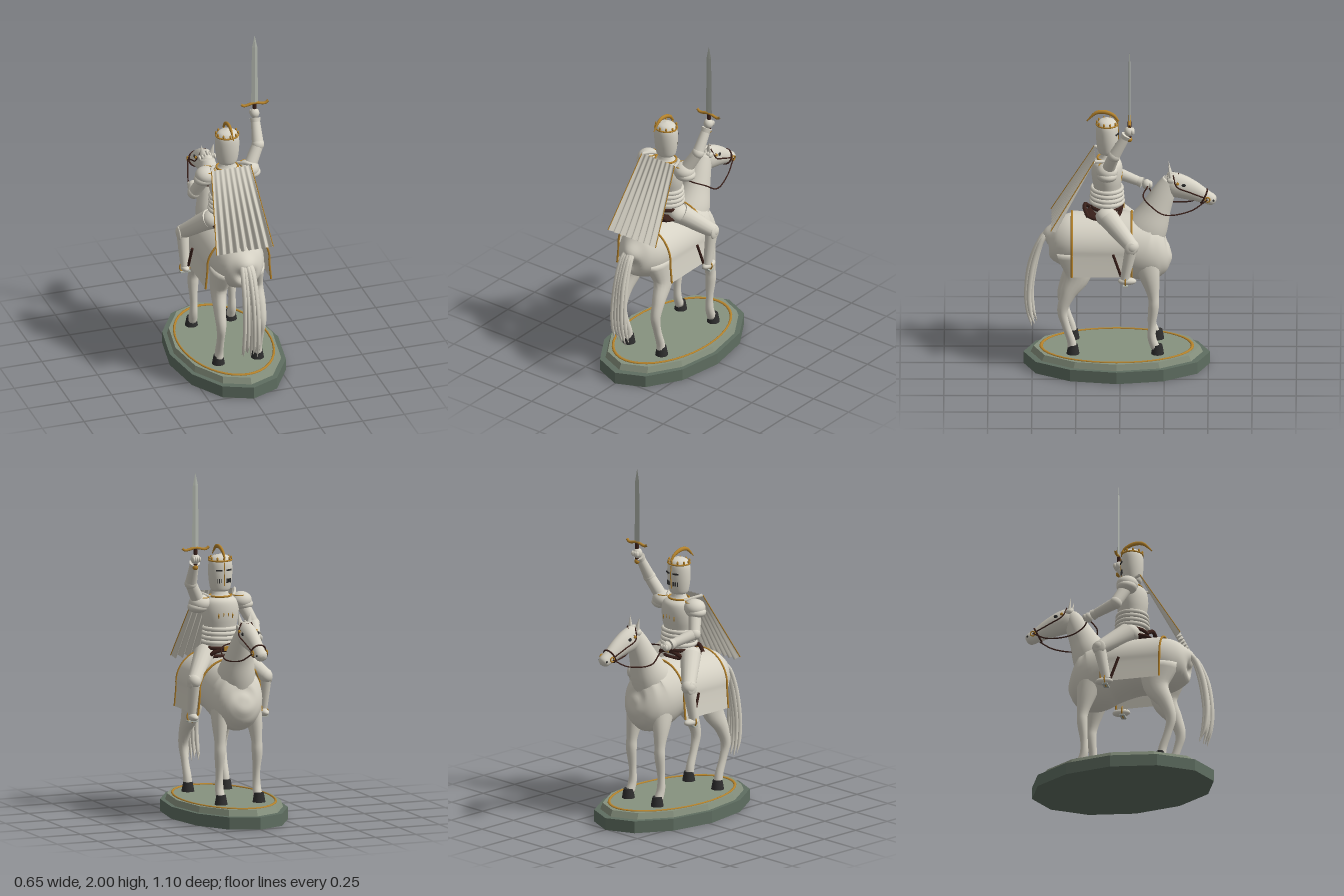
import * as THREE from 'three';

const mat = (name, color) => Object.assign(new THREE.MeshStandardMaterial({ color }), { name });
const ivory = mat('ivory', 0xd6d2c5);
ivory.side = THREE.DoubleSide;
const gold = mat('gold', 0xb5832c);
const leather = mat('dark leather', 0x3a211b);
const hoofDark = mat('hoof', 0x2e2e2e);
const steel = mat('steel', 0xb2b7ae);
const stoneDark = mat('dark stone', 0x5f6e61);
const stoneLight = mat('light stone', 0x87927f);

const V = (x, y, z) => new THREE.Vector3(x, y, z);
const SIDES = [-1, 1];

export function createModel() {
  const root = new THREE.Group();
  root.name = 'mountedKnight';

  const add = (name, geo, m, pos = [0, 0, 0], scale = [1, 1, 1], rot = [0, 0, 0]) => {
    const mesh = new THREE.Mesh(geo, m);
    mesh.name = name;
    mesh.position.set(...pos);
    mesh.scale.set(...scale);
    mesh.rotation.set(...rot);
    root.add(mesh);
    return mesh;
  };
  const ball = (name, m, pos, radii) => add(name, new THREE.SphereGeometry(1, 24, 16), m, pos, radii);
  const ring = (name, m, pos, rx, rz, r = 0.005) =>
    add(name, new THREE.TorusGeometry(1, r / rx, 8, 40), m, pos, [rx, rz, rx], [Math.PI / 2, 0, 0]);
  const tube = (name, m, pts, r = 0.004, closed = false) =>
    add(name, new THREE.TubeGeometry(new THREE.CatmullRomCurve3(pts.map(p => V(...p)), closed), 32, r, 6, closed), m);
  const rod = (name, m, a, b, r1, r2, seg = 16) => {
    const p = V(...a), q = V(...b), d = q.clone().sub(p);
    const mesh = add(name, new THREE.CylinderGeometry(r2, r1, d.length(), seg), m);
    mesh.position.copy(p).lerp(q, 0.5);
    mesh.quaternion.setFromUnitVectors(V(0, 1, 0), d.normalize());
    return mesh;
  };
  // Smooth skin over elliptical sections [x, y, z, radius across, radius along the profile]
  const loft = (name, m, secs, n = 24, steps = 30) => {
    const path = new THREE.CatmullRomCurve3(secs.map(s => V(s[0], s[1], s[2])), false, 'catmullrom');
    const size = new THREE.CatmullRomCurve3(secs.map(s => V(s[3], s[4], 0)), false, 'catmullrom');
    const pos = [], idx = [];
    for (let i = -1; i <= steps + 1; i++) {
      const t = Math.min(Math.max(i / steps, 0), 1), cap = i < 0 || i > steps ? 0 : 1;
      const c = path.getPoint(t), s = size.getPoint(t);
      const v = path.getTangent(t).cross(V(1, 0, 0)).normalize();
      for (let j = 0; j < n; j++) {
        const a = j / n * Math.PI * 2, k = cap * s.y * Math.sin(a);
        pos.push(c.x + cap * s.x * Math.cos(a), c.y + v.y * k, c.z + v.z * k);
        if (i <= steps) {
          const p = (i + 1) * n + j, q = (i + 1) * n + (j + 1) % n;
          idx.push(p, q, p + n, q, q + n, p + n);
        }
      }
    }
    const g = new THREE.BufferGeometry();
    g.setAttribute('position', new THREE.Float32BufferAttribute(pos, 3));
    g.setIndex(idx);
    g.computeVertexNormals();
    return add(name, g, m);
  };

  // Twelve-sided plinth with a gold inlay ring
  const slab = (name, r1, r2, h, y, m) => {
    const g = new THREE.CylinderGeometry(r2, r1, h, 12).toNonIndexed();
    g.computeVertexNormals();
    add(name, g, m, [0, y + h / 2, 0.02], [1, 1, 1.63]);
  };
  slab('plinthBase', 0.325, 0.325, 0.07, 0, stoneDark);
  slab('plinthTop', 0.3, 0.29, 0.035, 0.07, stoneLight);
  ring('plinthInlay', gold, [0, 0.106, 0.02], 0.262, 0.43, 0.006);

  // Horse body, neck and head
  loft('horseBody', ivory, [
    [0, 0.75, 0.42, 0.02, 0.02], [0, 0.755, 0.405, 0.07, 0.08], [0, 0.752, 0.36, 0.118, 0.128],
    [0, 0.75, 0.27, 0.152, 0.16], [0, 0.75, 0.1, 0.165, 0.157], [0, 0.73, -0.05, 0.165, 0.175],
    [0, 0.7, -0.15, 0.157, 0.185], [0, 0.7, -0.22, 0.132, 0.16], [0, 0.705, -0.263, 0.085, 0.1],
    [0, 0.71, -0.28, 0.02, 0.02]], 32, 48);
  loft('horseNeck', ivory, [
    [0, 0.74, -0.1, 0.11, 0.14], [0, 0.85, -0.16, 0.105, 0.115], [0, 0.95, -0.205, 0.08, 0.085],
    [0, 1.05, -0.25, 0.058, 0.064], [0, 1.12, -0.285, 0.042, 0.045]]);
  loft('horseHead', ivory, [
    [0, 1.1, -0.24, 0.025, 0.035], [0, 1.095, -0.285, 0.048, 0.07], [0, 1.082, -0.34, 0.052, 0.07],
    [0, 1.055, -0.41, 0.044, 0.058], [0, 1.02, -0.48, 0.037, 0.041], [0, 0.998, -0.525, 0.034, 0.032],
    [0, 0.99, -0.54, 0.015, 0.014]]);
  for (let i = -3; i <= 3; i++)
    ball('forelock', ivory, [i * 0.015, 1.155 - Math.abs(i) * 0.008, -0.285], [0.009, 0.016, 0.02]);

  for (const s of SIDES) {
    // Horse face
    add('horseEar', new THREE.ConeGeometry(0.018, 0.075, 10), ivory, [s * 0.032, 1.182, -0.28], [1, 1, 0.6], [0.15, 0, -s * 0.15]);
    ball('horseEye', hoofDark, [s * 0.048, 1.105, -0.36], [0.006, 0.01, 0.012]);
    ball('nostril', hoofDark, [s * 0.03, 1.005, -0.527], [0.005, 0.007, 0.008]);
    // Horse legs and hooves
    loft('frontLeg', ivory, [
      [s * 0.09, 0.72, -0.13, 0.055, 0.09], [s * 0.105, 0.58, -0.165, 0.045, 0.06], [s * 0.113, 0.46, -0.187, 0.031, 0.033],
      [s * 0.115, 0.39, -0.19, 0.031, 0.03], [s * 0.115, 0.28, -0.18, 0.021, 0.022], [s * 0.115, 0.2, -0.18, 0.024, 0.024],
      [s * 0.115, 0.14, -0.2, 0.026, 0.026]], 16);
    loft('hindLeg', ivory, [
      [s * 0.09, 0.72, 0.25, 0.065, 0.12], [s * 0.105, 0.58, 0.24, 0.048, 0.075], [s * 0.118, 0.47, 0.295, 0.036, 0.044],
      [s * 0.12, 0.37, 0.328, 0.028, 0.03], [s * 0.118, 0.28, 0.31, 0.022, 0.023], [s * 0.116, 0.19, 0.28, 0.024, 0.024],
      [s * 0.116, 0.14, 0.272, 0.026, 0.026]], 16);
    for (const z of [-0.212, 0.268])
      add('hoof', new THREE.CylinderGeometry(0.027, 0.037, 0.055, 16), hoofDark, [s * 0.117, 0.132, z]);
    // Bridle and bit
    tube('cheekStrap', leather, [[s * 0.03, 1.16, -0.3], [s * 0.055, 1.1, -0.32], [s * 0.049, 1.06, -0.4], [s * 0.04, 1.02, -0.49]]);
    add('bitRing', new THREE.TorusGeometry(0.014, 0.004, 8, 16), gold, [s * 0.043, 1.015, -0.495], [1, 1, 1], [0, Math.PI / 2, 0]);
    ball('bridleStud', gold, [s * 0.053, 1.115, -0.325], [0.007, 0.009, 0.009]);
  }
  add('noseband', new THREE.TorusGeometry(0.043, 0.005, 8, 24), leather, [0, 1.022, -0.475], [1, 1, 1], [-0.46, 0, 0]);
  tube('browband', leather, [[-0.05, 1.115, -0.325], [0, 1.157, -0.33], [0.05, 1.115, -0.325]]);
  tube('leftRein', leather, [[0.043, 1.015, -0.495], [0.075, 0.96, -0.4], [0.112, 0.95, -0.25], [0.095, 1.0, -0.17], [0, 1.02, -0.13], [-0.1, 1.04, -0.155]]);
  tube('rightRein', leather, [[-0.043, 1.015, -0.495], [-0.075, 0.96, -0.4], [-0.112, 0.95, -0.25], [-0.105, 1.0, -0.18], [-0.125, 1.04, -0.155]]);

  // Tail of curved strands
  for (let i = -4; i <= 4; i++) {
    const w = i / 4, o = (i % 2) * 0.014, e = 0.24 + Math.abs(i % 3) * 0.018;
    loft('tailStrand', ivory, [
      [w * 0.012, 0.8, 0.39, 0.022, 0.018], [w * 0.03, 0.76, 0.445 + o * 0.5, 0.015, 0.015],
      [w * 0.036, 0.62, 0.495 + o, 0.014, 0.016], [w * 0.042, 0.45, 0.518 + o, 0.012, 0.014],
      [w * 0.046, 0.33, 0.51 + o, 0.01, 0.011], [w * 0.05, e, 0.488 + o, 0.002, 0.002]], 8, 20);
  }

  // Draped saddle cloth with gold edging at both ends
  const drape = [[-0.196, 0.6]];
  for (let i = 0; i <= 20; i++) {
    const a = (i / 20 - 0.5) * Math.PI * 1.06;
    drape.push([0.186 * Math.sin(a), 0.738 + 0.177 * Math.cos(a)]);
  }
  drape.push([0.196, 0.6]);
  const dc = new THREE.CatmullRomCurve3(drape.map(p => V(p[0], p[1], 0)));
  const cloth = new THREE.PlaneGeometry(1, 1, 48, 1), cp = cloth.attributes.position;
  for (let i = 0; i < cp.count; i++) {
    const p = dc.getPoint(cp.getX(i) + 0.5);
    cp.setXYZ(i, p.x, p.y, cp.getY(i) < 0 ? 0.275 : -0.065);
  }
  cloth.computeVertexNormals();
  add('saddleCloth', cloth, ivory);
  for (const z of [-0.065, 0.275])
    add('clothTrim', new THREE.TubeGeometry(dc, 60, 0.006, 6), gold, [0, 0, z]);

  // Saddle
  ball('saddleSeat', leather, [0, 0.917, 0.1], [0.115, 0.024, 0.105]);
  tube('pommel', leather, [[-0.1, 0.92, 0.02], [-0.05, 0.95, 0.0], [0.05, 0.95, 0.0], [0.1, 0.92, 0.02]], 0.012);
  tube('cantle', leather, [[-0.09, 0.925, 0.18], [-0.04, 0.955, 0.2], [0.04, 0.955, 0.2], [0.09, 0.925, 0.18]], 0.012);

  // Breastplate, waist bands and belt
  const torso = [[0.01, 0.92], [0.082, 0.93], [0.088, 0.99], [0.084, 1.06], [0.097, 1.13], [0.1, 1.19], [0.088, 1.235], [0.05, 1.26], [0.035, 1.3]];
  add('torso', new THREE.LatheGeometry(new THREE.SplineCurve(torso.map(p => new THREE.Vector2(...p))).getPoints(32), 32),
    ivory, [0, 0, 0.075], [1.08, 1, 0.88]);
  for (let i = 0; i < 4; i++)
    ring('waistBand', ivory, [0, 0.995 + i * 0.026, 0.075], 0.1 - i * 0.002, 0.09 - i * 0.002, 0.013);
  ring('belt', leather, [0, 0.965, 0.075], 0.097, 0.084, 0.011);
  add('beltBuckle', new THREE.BoxGeometry(0.03, 0.026, 0.008), gold, [0, 0.965, -0.021]);
  ring('collar', gold, [0, 1.257, 0.075], 0.062, 0.055, 0.006);
  for (const x of [-0.042, -0.014, 0.014, 0.042])
    add('breastOrnament', new THREE.OctahedronGeometry(1, 0), gold, [x, 1.165 - Math.abs(x) * 0.3, -0.012 + Math.abs(x) * 0.16], [0.006, 0.022, 0.005]);

  // Helmet with visor slits, coronet and curved crest
  const helm = [[0.045, 1.285], [0.058, 1.3], [0.068, 1.36], [0.07, 1.42], [0.064, 1.46], [0.045, 1.485], [0.001, 1.497]];
  add('helmet', new THREE.LatheGeometry(new THREE.SplineCurve(helm.map(p => new THREE.Vector2(...p))).getPoints(30), 32), ivory, [0, 0, 0.075], [1, 1, 0.9]);
  ring('coronet', gold, [0, 1.462, 0.075], 0.065, 0.06, 0.005);
  for (let i = 0; i < 10; i++) {
    const a = i / 10 * Math.PI * 2;
    ball('coronetPoint', gold, [Math.sin(a) * 0.063, 1.474, 0.075 + Math.cos(a) * 0.058], [0.006, 0.011, 0.006]);
  }
  loft('crest', gold, [[0, 1.48, 0.01, 0.005, 0.006], [0, 1.515, 0.04, 0.008, 0.01], [0, 1.535, 0.09, 0.009, 0.012],
    [0, 1.528, 0.14, 0.008, 0.01], [0, 1.48, 0.19, 0.002, 0.003]], 10);
  tube('visorRidge', gold, [[0, 1.455, 0.014], [0, 1.4, 0.009], [0, 1.32, 0.016]], 0.003);
  for (const s of SIDES) {
    add('eyeSlit', new THREE.BoxGeometry(0.036, 0.009, 0.008), hoofDark, [s * 0.03, 1.41, 0.018], [1, 1, 1], [0, -s * 0.4, 0]);
    for (let i = 0; i < 3; i++)
      add('breathSlit', new THREE.BoxGeometry(0.005, 0.025, 0.008), hoofDark, [s * (0.016 + i * 0.012), 1.35, 0.015 + i * 0.0045], [1, 1, 1], [0, -s * 0.4, 0]);
  }

  // Arms: one lowered to the reins, one raised with the sword
  const arm = (shoulder, elbow, hand) => {
    const wrist = V(...elbow).lerp(V(...hand), 0.85).toArray();
    rod('upperArm', ivory, shoulder, elbow, 0.038, 0.033);
    ball('elbowGuard', ivory, elbow, [0.036, 0.036, 0.036]);
    rod('forearm', ivory, elbow, wrist, 0.034, 0.025);
    rod('gauntletCuff', ivory, V(...elbow).lerp(V(...hand), 0.7).toArray(), wrist, 0.026, 0.031);
    ball('fist', ivory, hand, [0.027, 0.03, 0.027]);
    for (let i = -1; i <= 2; i++) ball('finger', ivory, [hand[0] + (i - 0.5) * 0.012, hand[1], hand[2] - 0.02], [0.008, 0.016, 0.012]);
  };
  arm([-0.13, 1.21, 0.075], [-0.182, 1.09, 0.02], [-0.13, 1.04, -0.15]);
  arm([0.13, 1.22, 0.075], [0.198, 1.345, 0.035], [0.207, 1.5, -0.05]);

  // Sword
  rod('swordGrip', leather, [0.208, 1.45, -0.053], [0.208, 1.56, -0.053], 0.011, 0.011);
  ball('pommelKnob', gold, [0.208, 1.452, -0.053], [0.016, 0.016, 0.016]);
  tube('swordGuard', gold, [[0.125, 1.567, -0.053], [0.145, 1.555, -0.053], [0.208, 1.565, -0.053], [0.27, 1.555, -0.053], [0.29, 1.567, -0.053]], 0.008);
  const blade = new THREE.CylinderGeometry(0.016, 0.021, 0.36, 4).toNonIndexed();
  blade.computeVertexNormals();
  add('swordBlade', blade, steel, [0.208, 1.745, -0.053], [1, 1, 0.28]);
  const tip = new THREE.ConeGeometry(0.016, 0.075, 4).toNonIndexed();
  tip.computeVertexNormals();
  add('swordTip', tip, steel, [0.208, 1.9625, -0.053], [1, 1, 0.28]);

  for (const s of SIDES) {
    // Layered shoulder plates
    ball('shoulderPlate', ivory, [s * 0.128, 1.222, 0.075], [0.062, 0.05, 0.062]);
    ball('shoulderLame', ivory, [s * 0.138, 1.2, 0.075], [0.06, 0.035, 0.058]);
    ring('shoulderTrim', gold, [s * 0.115, 1.255, 0.075], 0.04, 0.045, 0.003);
    // Rider's legs
    const knee = [s * 0.22, 0.8, -0.065], ankle = [s * 0.22, 0.6, -0.025];
    rod('thigh', ivory, [s * 0.1, 0.93, 0.07], knee, 0.06, 0.04);
    ball('hip', ivory, [s * 0.09, 0.93, 0.075], [0.06, 0.055, 0.065]);
    ball('kneeGuard', ivory, knee, [0.04, 0.042, 0.042]);
    ball('kneeWing', ivory, [s * 0.245, 0.795, -0.06], [0.012, 0.04, 0.035]);
    rod('shin', ivory, knee, ankle, 0.036, 0.025);
    ball('boot', ivory, [s * 0.218, 0.588, -0.04], [0.027, 0.022, 0.052]);
    // Stirrup and its leather
    rod('stirrupLeather', leather, [s * 0.197, 0.74, 0.04], [s * 0.205, 0.61, -0.005], 0.008, 0.008, 8);
    add('stirrup', new THREE.TorusGeometry(0.032, 0.004, 8, 20), gold, [s * 0.217, 0.592, -0.03]);
    add('stirrupTread', new THREE.BoxGeometry(0.06, 0.008, 0.03), steel, [s * 0.217, 0.564, -0.03]);
  }

  // Pleated cape with gold edges
  const fold = (u, t) => [
    u * 2 * (0.118 + 0.052 * t),
    1.28 - 0.415 * t + 0.008 * t * Math.cos(u * Math.PI * 16),
    0.145 + 0.235 * t + Math.cos(u * Math.PI * 16) * (0.003 + 0.011 * t)];
  const cape = new THREE.PlaneGeometry(1, 1, 96, 8), kp = cape.attributes.position;
  for (let i = 0; i < kp.count; i++) kp.setXYZ(i, ...fold(kp.getX(i), 0.5 - kp.getY(i)));
  cape.computeVertexNormals();
  add('cape', cape, ivory);
  for (const s of SIDES) {
    tube('capeEdge', gold, [0, 0.5, 1].map(t => fold(s * 0.5, t)), 0.003);
    tube('capeShoulderFold', ivory, [[s * 0.118, 1.278, 0.145], [s * 0.1, 1.27, 0.1], [s * 0.07, 1.255, 0.05]], 0.01);
  }
  return root;
}
